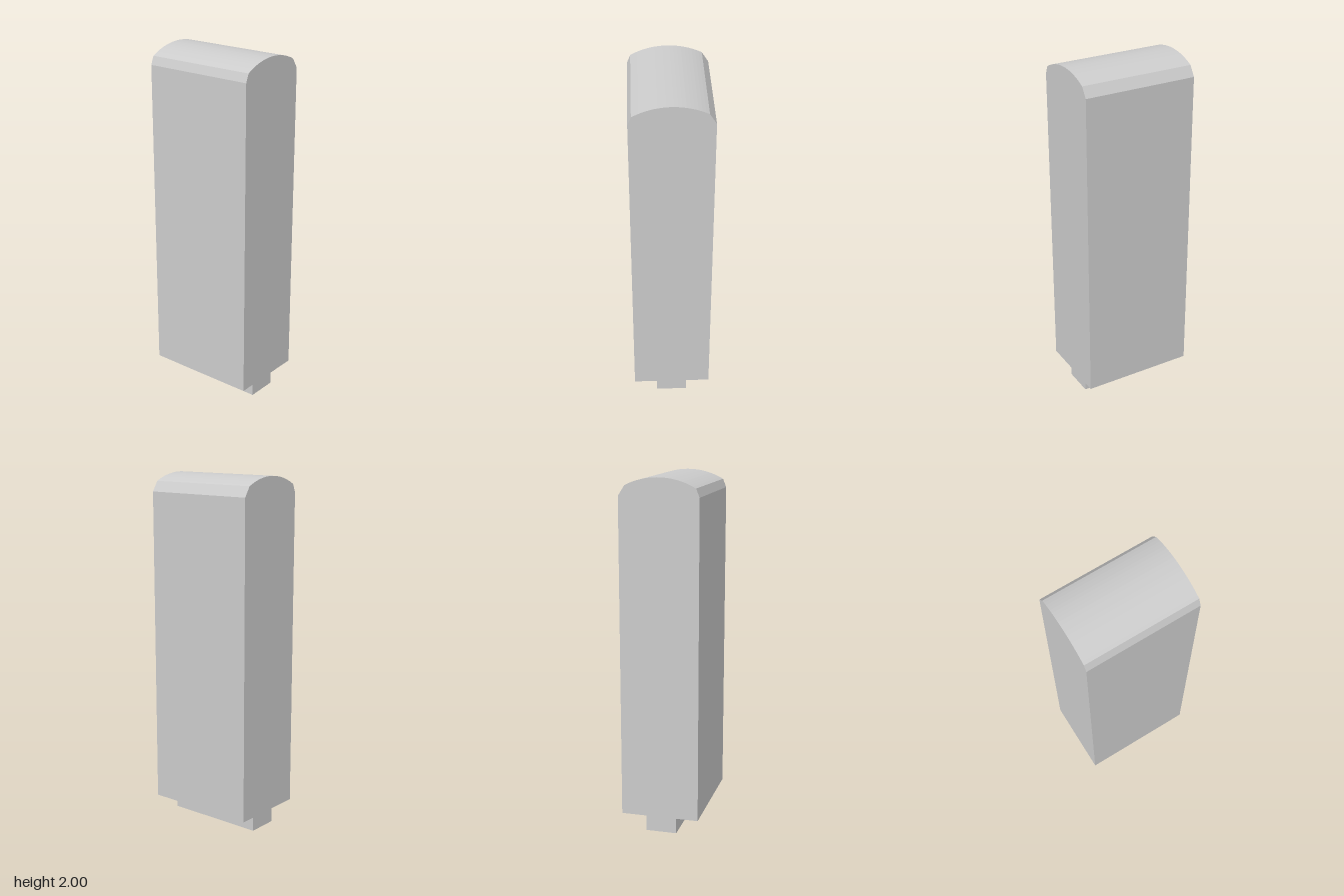
import * as THREE from 'three';

export function createModel() {
  const group = new THREE.Group();
  const material = new THREE.MeshStandardMaterial({ color: 0xcccccc });

  // Tall slab with a shallow domed top; the right-hand shoulder has a wider chamfer
  const halfWidth = 0.221, depth = 0.65, bottom = 0.105, shoulder = 1.9;
  const radius = 0.41, centreY = 2 - radius;
  const start = Math.acos(0.185 / radius), end = Math.acos(-0.202 / radius);
  const profile = new THREE.Shape();
  profile.moveTo(-halfWidth, bottom);
  profile.lineTo(halfWidth, bottom);
  profile.lineTo(halfWidth, shoulder);
  const steps = 20;
  for (let i = 0; i <= steps; i++) {
    const a = start + (end - start) * i / steps;
    profile.lineTo(radius * Math.cos(a), centreY + radius * Math.sin(a));
  }
  profile.lineTo(-halfWidth, shoulder);
  profile.closePath();
  const bodyGeometry = new THREE.ExtrudeGeometry(profile, { depth, bevelEnabled: false });
  bodyGeometry.translate(0, 0, -depth / 2);
  const body = new THREE.Mesh(bodyGeometry, material);
  body.name = 'body';
  group.add(body);

  // Narrow mounting foot under the slab
  const foot = new THREE.Mesh(new THREE.BoxGeometry(0.176, bottom, 0.58), material);
  foot.position.y = bottom / 2;
  foot.name = 'foot';
  group.add(foot);

  return group;
}
